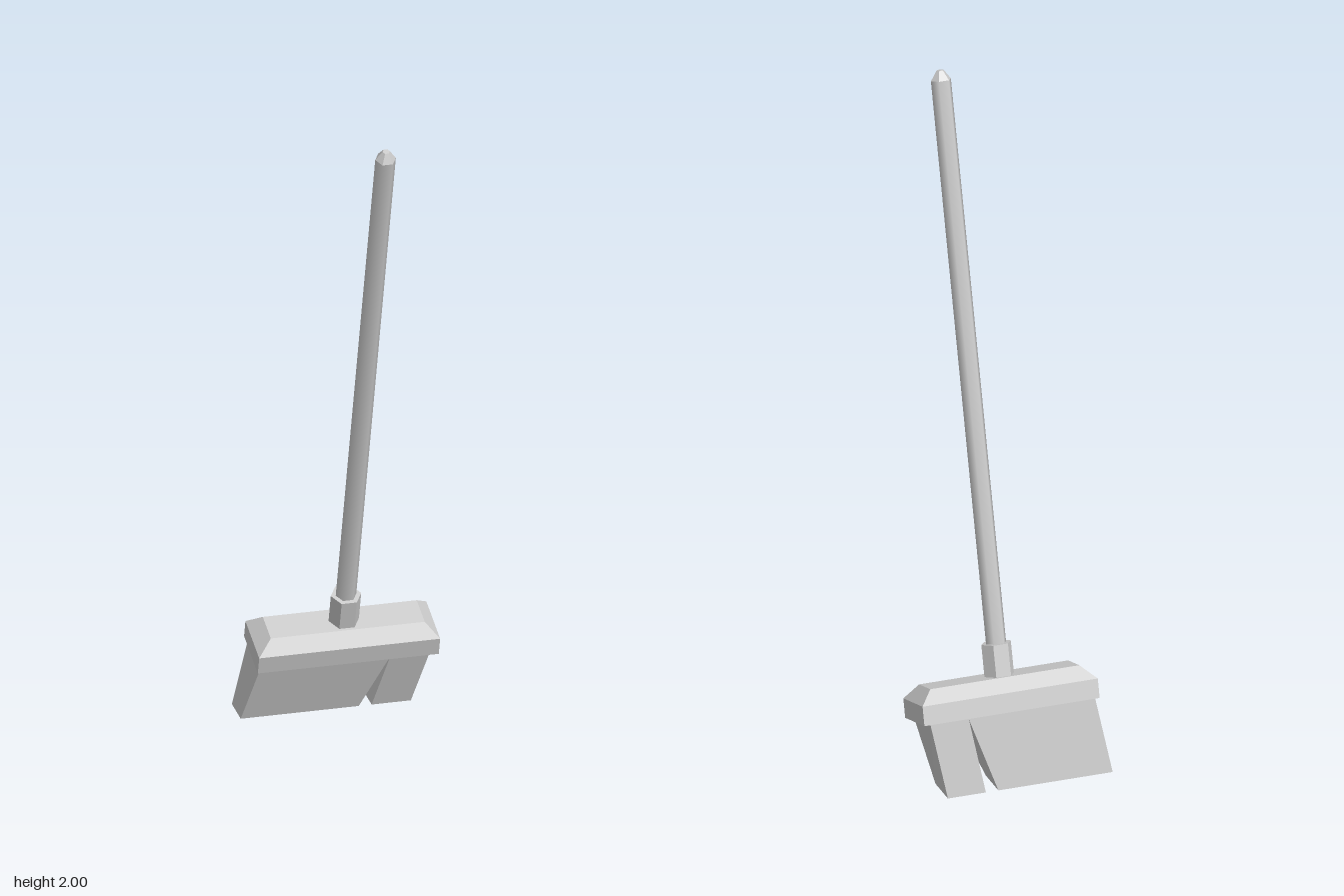
import * as THREE from 'three';

const smooth = new THREE.MeshStandardMaterial({ color: 0xcccccc });
const flat = new THREE.MeshStandardMaterial({ color: 0xcccccc, flatShading: true });

function addMesh(parent, name, geometry, material = flat) {
  const mesh = new THREE.Mesh(geometry, material);
  mesh.name = name;
  parent.add(mesh);
  return mesh;
}

// Six-faced block from a bottom and a top ring, each ordered
// front-left-of-view, front-right, back-right, back-left.
function block(bottom, top) {
  const p = [...bottom, ...top];
  const quads = [[3, 2, 1, 0], [4, 5, 6, 7]];
  for (let i = 0; i < 4; i++) {
    const j = (i + 1) % 4;
    quads.push([i, j, j + 4, i + 4]);
  }
  const positions = [];
  for (const [a, b, c, d] of quads) {
    for (const k of [a, b, c, a, c, d]) positions.push(...p[k]);
  }
  const geometry = new THREE.BufferGeometry();
  geometry.setAttribute('position', new THREE.Float32BufferAttribute(positions, 3));
  geometry.computeVertexNormals();
  return geometry;
}

const rect = (x, y, z) => [[-x, y, z], [x, y, z], [x, y, -z], [-x, y, -z]];

// Hexagonal post with corners towards +x and -x
function hexPost(r0, r1, y0, y1) {
  return new THREE.CylinderGeometry(r1, r0, y1 - y0, 6)
    .rotateY(Math.PI / 6)
    .translate(0, (y0 + y1) / 2, 0);
}

// Bristle clump, cut flat on the ground and rising into the tilted head
function clump(x0, x1, topX0, topX1) {
  return block(
    [[x0, 0, -0.222], [x1, 0, -0.222], [x1, 0, -0.325], [x0, 0, -0.325]],
    [[topX0, 0.19, -0.147], [topX1, 0.19, -0.147], [topX1, 0.232, -0.282], [topX0, 0.232, -0.282]]
  );
}

export function createModel() {
  const model = new THREE.Group();
  model.name = 'broom';

  // Leaning assembly: head, socket and handle
  const lean = new THREE.Group();
  lean.name = 'leaningAssembly';
  lean.position.set(0.0125, 0.203, -0.2135);
  lean.rotation.x = THREE.MathUtils.degToRad(16.07);
  model.add(lean);

  // Head with a bevelled top
  addMesh(lean, 'headSlab', block(rect(0.2675, 0, 0.083), rect(0.2675, 0.057, 0.083)));
  addMesh(lean, 'headBevel', block(rect(0.2675, 0.057, 0.083), rect(0.2275, 0.097, 0.048)));

  // Socket and handle
  addMesh(lean, 'socket', hexPost(0.045, 0.045, 0.09, 0.191));
  addMesh(lean, 'handle', hexPost(0.0305, 0.0305, 0.18, 1.84), smooth);
  addMesh(lean, 'handleTip', hexPost(0.0305, 0.011, 1.84, 1.868));

  // Bristles with a split between a wide and a narrow clump
  addMesh(model, 'wideBristles', clump(-0.283, 0.066, -0.243, 0.145));
  addMesh(model, 'narrowBristles', clump(0.104, 0.22, 0.143, 0.26));

  return model;
}
